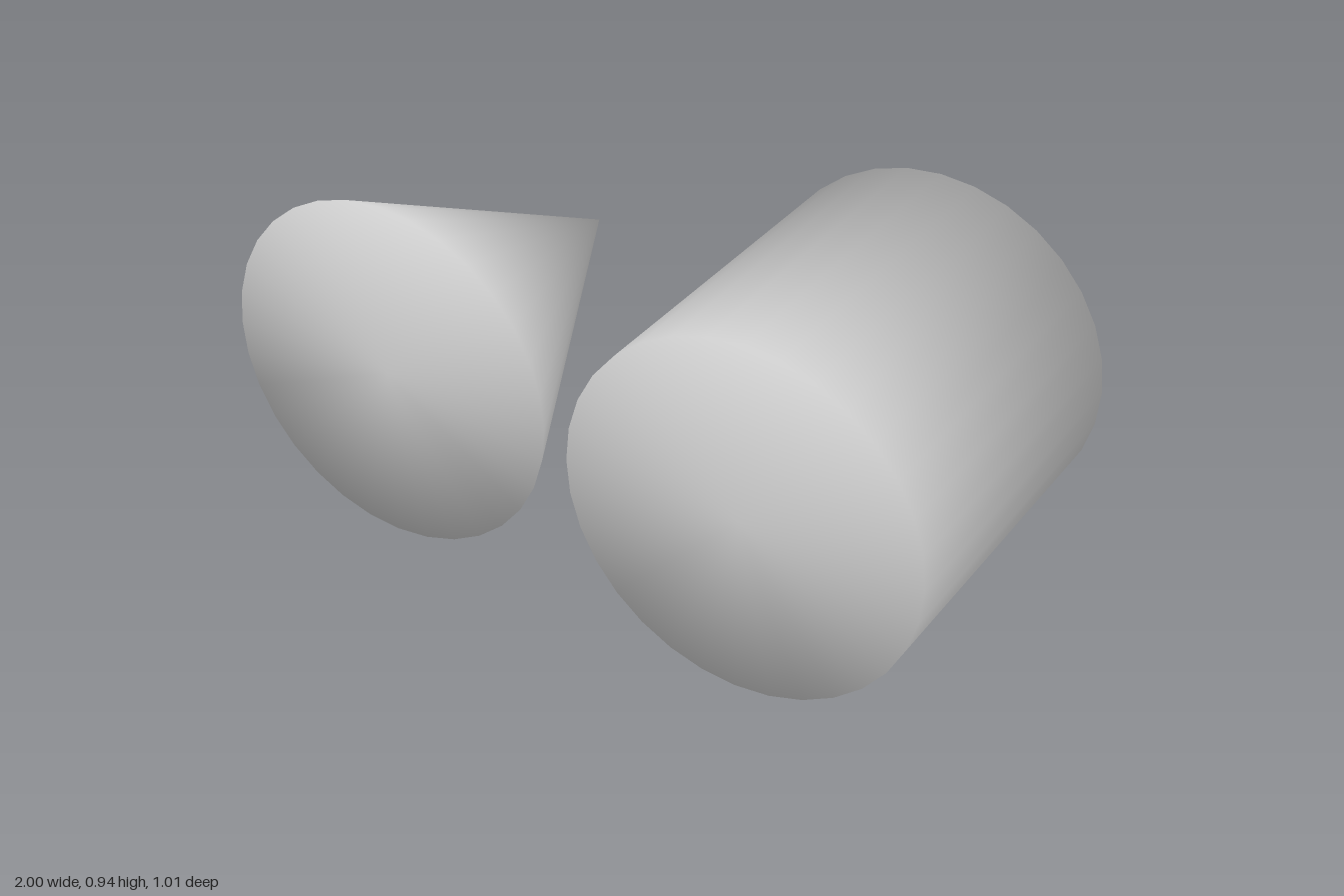
import * as THREE from 'three';

const RADIUS = 0.4715;
const LENGTH = 0.943;
const SIDES = 32;

// Turned solid along z: profile rows are [radius, height, normalOut, normalAlong],
// so the shading runs softly across the rims.
function turnedSolid(name, rows) {
  const geometry = new THREE.LatheGeometry(rows.map(([r, h]) => new THREE.Vector2(r, h)), SIDES);
  const normal = geometry.attributes.normal;
  for (let i = 0; i < normal.count; i++) {
    const angle = Math.floor(i / rows.length) / SIDES * Math.PI * 2;
    const [, , out, along] = rows[i % rows.length];
    normal.setXYZ(i, out * Math.sin(angle), along, out * Math.cos(angle));
  }
  geometry.rotateX(-Math.PI / 2); // profile top points to the back
  const mesh = new THREE.Mesh(geometry, new THREE.MeshStandardMaterial({ color: 0xcccccc }));
  mesh.name = name;
  return mesh;
}

export function createModel() {
  const group = new THREE.Group();
  group.name = 'coneAndCylinder';
  const h = LENGTH / 2;

  // Cylinder on the left, lying front to back
  const cylinder = turnedSolid('cylinder', [
    [0, -h, 0, -0.71],
    [RADIUS, -h, 0.71, -0.71],
    [RADIUS, h, 0.71, 0.71],
    [0, h, 0, 0.71],
  ]);
  cylinder.position.set(1 - RADIUS, RADIUS, 0.036);

  // Cone on the right, base to the front and tip to the back
  const cone = turnedSolid('cone', [
    [0, -h, 0, -0.52],
    [RADIUS, -h, 0.85, -0.52],
    [0, h, 0, 1],
  ]);
  cone.position.set(RADIUS - 1, RADIUS, -0.036);

  group.add(cylinder, cone);
  return group;
}
